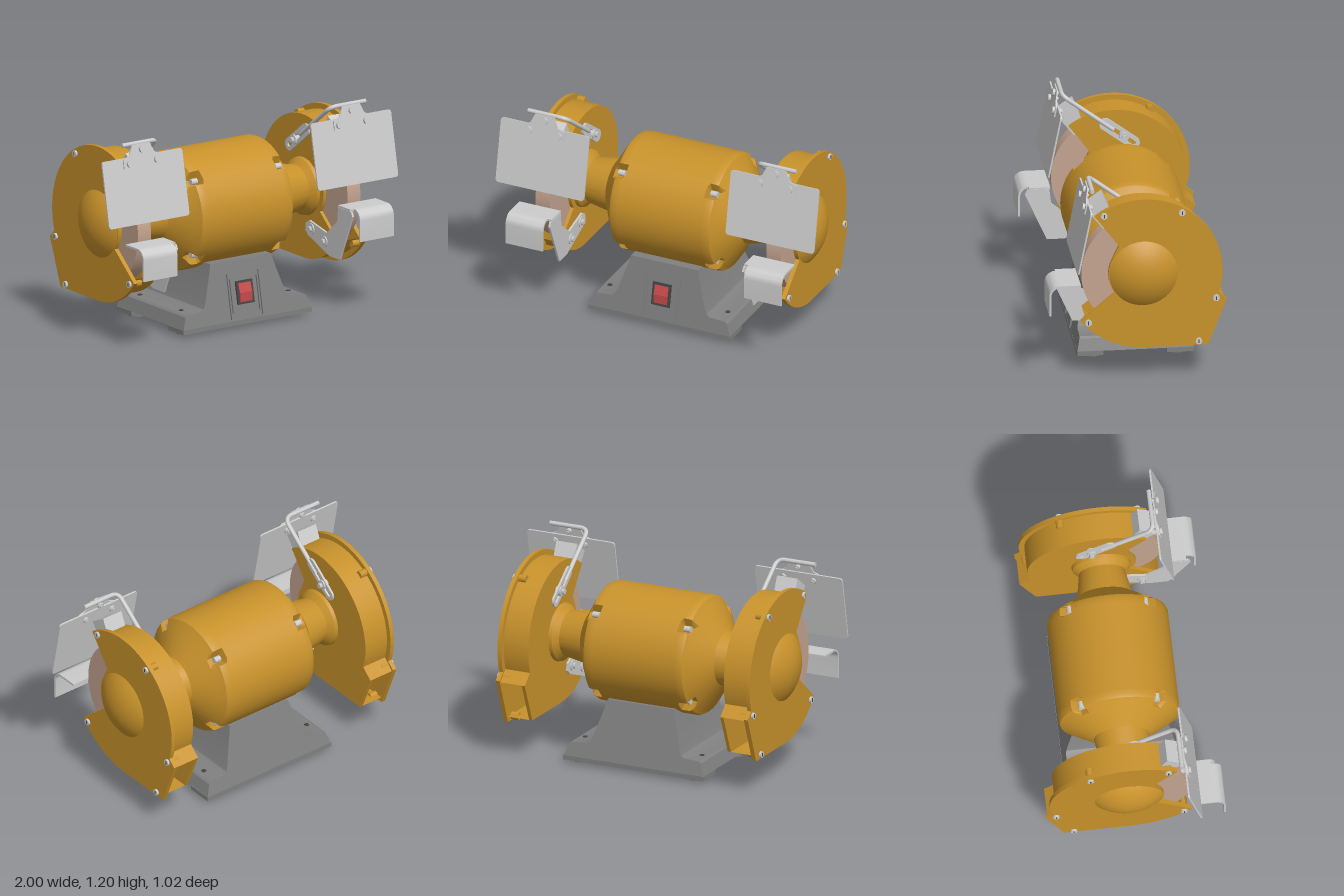
import * as THREE from 'three';
import { toCreasedNormals } from 'three/addons/utils/BufferGeometryUtils.js';

const CY = 0.657, CZ = -0.035; // shaft axis
const mat = (color, side = THREE.FrontSide) => new THREE.MeshStandardMaterial({ color, side });
const GOLD = mat(0xc8922b), GOLD2 = mat(0xc8922b, THREE.DoubleSide), GREY = mat(0xcccccc);
const DARK = mat(0x808080), BLACK = mat(0x444444), RED = mat(0xc84a4a), STONE = mat(0xc4a490);

// points [z, y] on a circle round the shaft axis, angle 0 = front
function arc(r, a0, a1, n, cz = CZ, cy = CY) {
  return Array.from({ length: n + 1 }, (_, i) => {
    const a = a0 + (a1 - a0) * i / n;
    return [cz + r * Math.cos(a), cy + r * Math.sin(a)];
  });
}
const toShape = pts => new THREE.Shape(pts.map(p => new THREE.Vector2(p[0], p[1])));
const extrude = (shape, depth) =>
  new THREE.ExtrudeGeometry(shape, { depth, bevelEnabled: false, curveSegments: 8 });

// [z, y] outline extruded from x0 to x1
function extrudeX(pts, x0, x1) {
  const g = extrude(toShape(pts.map(([z, y]) => [-z, y])), x1 - x0);
  return toCreasedNormals(g.rotateY(Math.PI / 2).translate(x0, 0, 0), 0.5);
}
// open sheet following a [z, y] path
function ribbon(pts, x0, x1) {
  const n = pts.length, g = new THREE.PlaneGeometry(1, 1, n - 1, 1), p = g.attributes.position;
  for (let i = 0; i < 2 * n; i++) p.setXYZ(i, i < n ? x0 : x1, pts[i % n][1], pts[i % n][0]);
  return toCreasedNormals(g, 0.5);
}
const latheX = (pts, seg = 64) => new THREE.LatheGeometry(
  pts.map(([r, x]) => new THREE.Vector2(r, x)), seg).rotateZ(-Math.PI / 2);
const cylX = (r, x0, x1, y, z, seg = 20) => new THREE.CylinderGeometry(r, r, x1 - x0, seg)
  .rotateZ(-Math.PI / 2).translate((x0 + x1) / 2, y, z);
const box = (w, h, d, x, y, z) => new THREE.BoxGeometry(w, h, d).translate(x, y, z);

function mirrored(geo) {
  const g = geo.clone().scale(-1, 1, 1);
  const idx = g.index ? Array.from(g.index.array)
    : Array.from({ length: g.attributes.position.count }, (_, i) => i);
  return g.setIndex(idx.reverse());
}

// side outline of a wheel guard: drum, spark chute at the back, open mouth in front
function guardOutline(r, chute, lip) {
  return [...arc(r, 0.909, 3.449, 40), ...chute, ...arc(r, 4.712, 5.627, 16),
    ...arc(0.2, -0.607, 0.51, 12), [0.125, 0.79], [0.105, 0.83], lip];
}

function buildMotor(add) {
  // motor shell with four screw pockets sunk into each end
  const half = [[0.345, 0], [0.345, 0.25], [0.345, 0.262], [0.345, 0.295], [0.338, 0.312], [0.315, 0.325],
    [0.29, 0.343], [0.18, 0.41], [0.158, 0.425], [0.132, 0.57], [0.165, 0.6], [0.17, 0.625]];
  const profile = [...half.slice(1).reverse().map(([r, x]) => [r, -x]), ...half];
  const shell = latheX(profile, 96), p = shell.attributes.position;
  for (let i = 0; i < p.count; i++) {
    const y = p.getY(i), z = p.getZ(i), r = Math.hypot(y, z);
    const off = Math.abs(Math.abs(Math.atan2(Math.abs(y), Math.abs(z))) - Math.PI / 4);
    if (off < 0.12 && Math.abs(p.getX(i)) > 0.255 && r > 0.288) {
      p.setY(i, y * 0.288 / r);
      p.setZ(i, z * 0.288 / r);
    }
  }
  add('motorHousing', toCreasedNormals(shell, 0.4).translate(0, CY, CZ), GOLD);
  for (const s of [-1, 1]) for (let k = 0; k < 4; k++) {
    const a = Math.PI / 4 + k * Math.PI / 2, x = s * 0.29;
    add('motorScrew', cylX(0.018, x - 0.02, x + 0.02, CY + 0.303 * Math.sin(a), CZ + 0.303 * Math.cos(a)), GREY);
  }
}

function buildBase(add) {
  const half = [[0.21, 0.385], [0.222, 0.34], [0.275, 0.17], [0.288, 0.142], [0.31, 0.13], [0.405, 0.125],
    [0.418, 0.115], [0.442, 0.045]];
  const g = extrude(toShape([...half, ...half.map(([x, y]) => [-x, y]).reverse()]), 1);
  const zf = y => 0.305 - 0.2 * (y - 0.02), zb = y => -0.37 + 0.285 * (y - 0.02);
  const p = g.attributes.position;
  for (let i = 0; i < p.count; i++) {
    const y = p.getY(i);
    p.setZ(i, zb(y) + (zf(y) - zb(y)) * p.getZ(i));
  }
  add('pedestal', toCreasedNormals(g, 0.5), DARK);
  // rim under the pedestal, notched at the sides
  add('frontRim', box(0.89, 0.027, 0.02, 0, 0.0335, 0.291), DARK);
  add('backRim', box(0.89, 0.027, 0.02, 0, 0.0335, -0.355), DARK);
  add('bottomPlate', box(0.85, 0.006, 0.62, 0, 0.043, -0.032), BLACK);
  for (const s of [-1, 1]) {
    for (const z of [0.205, -0.275]) {
      add('sideRim', box(0.02, 0.027, 0.15, s * 0.435, 0.0335, z + (z > 0 ? 0.02 : -0.01)), DARK);
      const foot = [[0, 0.02], [0.028, 0.02], [0.028, 0], [0.05, 0], [0.052, 0.045]];
      add('foot', toCreasedNormals(new THREE.LatheGeometry(
        foot.map(q => new THREE.Vector2(...q)), 28), 0.5).translate(s * 0.363, 0, z), DARK);
      add('mountingHole', new THREE.CylinderGeometry(0.014, 0.014, 0.004, 16)
        .translate(s * 0.37, 0.128, z * 0.85), BLACK);
    }
  }
  // switch on the sloping front
  const tilt = Math.atan(0.2);
  const onFront = geo => geo.rotateX(-tilt).translate(0, 0.2, zf(0.2));
  add('switchFrame', onFront(box(0.115, 0.135, 0.012, 0, 0, 0.004)), BLACK);
  add('switchRockerTop', onFront(box(0.085, 0.055, 0.02, 0, 0.026, 0).rotateX(-0.12).translate(0, 0, 0.008)), RED);
  add('switchRockerBottom', onFront(box(0.085, 0.055, 0.02, 0, -0.026, 0).rotateX(0.2).translate(0, 0, 0.012)), RED);
  for (const s of [-1, 1]) for (const [x, h] of [[0.108, 0.26], [0.092, 0.2]])
    add('panelRib', onFront(box(0.007, h, 0.016, s * x, -0.015, 0.002)), DARK);
}

// all parts of the +x grinding station
function buildStation(add) {
  const chuteOut = [[-0.51, 0.48], [-0.405, 0.205]], chuteIn = [[-0.5, 0.47], [-0.405, 0.237]];
  add('guardCover', extrudeX(guardOutline(0.452, chuteOut, [0.175, 0.925]), 0.775, 0.8), GOLD);
  add('guardInnerWall', extrudeX(guardOutline(0.42, chuteIn, [0.17, 0.92]), 0.62, 0.64), GOLD);
  add('guardTopWall', ribbon([...arc(0.42, 0.909, 3.449, 40), chuteIn[0]], 0.621, 0.78), GOLD2);
  add('guardBottomWall', ribbon([chuteIn[1], ...arc(0.42, 4.712, 5.627, 16)], 0.621, 0.78), GOLD2);
  const R = 0.313;
  add('guardDome', new THREE.SphereGeometry(R, 48, 12, 0, Math.PI * 2, 0, 0.672)
    .rotateZ(-Math.PI / 2).translate(0.868 - R, CY, CZ), GOLD);
  for (const [z, y] of [[0.19, 1.02], [-0.255, 1.02], [-0.45, 0.49], [-0.35, 0.23], [0.28, 0.37]]) {
    add('guardScrew', cylX(0.019, 0.8, 0.812, y, z), GREY);
    add('guardScrewSlot', box(0.003, 0.022, 0.006, 0.812, y, z).translate(0, 0, 0), BLACK);
    add('guardScrewBoss', cylX(0.022, 0.73, 0.776, y, z), GOLD);
  }
  add('grindingWheel', cylX(0.352, 0.68, 0.77, CY, CZ, 72), STONE);
  add('wheelShaft', cylX(0.05, 0.6, 0.79, CY, CZ, 24), GREY);

  // adjustable spark deflector at the mouth
  add('sparkDeflector', extrudeX([[0.285, 1.045], [0.19, 0.925], [0.13, 0.985], [0.187, 1.115]], 0.635, 0.765), GREY);

  // tool rest and its slotted arm
  add('toolRest', extrudeX([[0.33, 0.627], ...arc(0.06, Math.PI / 2, 0, 8, 0.45, 0.567), [0.51, 0.445],
    [0.498, 0.445], ...arc(0.048, 0, Math.PI / 2, 8, 0.45, 0.567), [0.33, 0.615]], 0.632, 0.866), GREY);
  add('toolRestArm', extrudeX([[0.475, 0.59], [0.462, 0.616], [0.335, 0.616], [0.325, 0.53], [0.22, 0.44], [0.05, 0.475],
    [0.015, 0.455], [0.01, 0.41], [0.04, 0.385], [0.25, 0.31], [0.35, 0.31]], 0.603, 0.615), GREY);
  add('toolRestFlange', box(0.03, 0.012, 0.12, 0.62, 0.621, 0.39), GREY);
  for (const [z, y] of [[0.07, 0.43], [0.2, 0.385]]) {
    add('toolRestWasher', cylX(0.032, 0.596, 0.622, y, z), GREY);
    add('toolRestBolt', cylX(0.018, 0.582, 0.6, y, z, 6), GREY);
  }

  // eye shield with its clamp, tilted back at the top
  const onShield = geo => geo.rotateX(-0.195).translate(0.7225, 0.93, 0.3225);
  const w = 0.2775, h = 0.1935, c = 0.02;
  const pane = new THREE.Shape();
  pane.moveTo(-w + c, -h).lineTo(w - c, -h).quadraticCurveTo(w, -h, w, -h + c).lineTo(w, h - c)
    .quadraticCurveTo(w, h, w - c, h).lineTo(-w + c, h).quadraticCurveTo(-w, h, -w, h - c)
    .lineTo(-w, -h + c).quadraticCurveTo(-w, -h, -w + c, -h);
  add('eyeShield', onShield(extrude(pane, 0.01).translate(0, 0, -0.005)), GREY);
  const clamp = toShape([[-0.125, 0.13], [0.135, 0.13], [0.135, 0.185], [0.09, 0.205], [0.065, 0.26],
    [-0.055, 0.26], [-0.08, 0.205], [-0.125, 0.185]]);
  add('shieldClamp', onShield(extrude(clamp, 0.008).translate(0, 0, 0.005)), GREY);
  for (const [x, y] of [[-0.092, 0.158], [0.096, 0.158], [0.003, 0.23]]) {
    add('clampScrew', onShield(new THREE.CylinderGeometry(0.021, 0.021, 0.014, 20)
      .rotateX(Math.PI / 2).translate(x, y, 0.02)), GREY);
    add('clampBolt', onShield(new THREE.CylinderGeometry(0.01, 0.01, 0.05, 12)
      .rotateX(Math.PI / 2).translate(x, y, -0.008)), GREY);
    add('clampNut', onShield(new THREE.CylinderGeometry(0.02, 0.02, 0.014, 6)
      .rotateX(Math.PI / 2).translate(x, y, -0.02)), GREY);
  }

  // bent rod and slotted foot carrying the shield
  const rod = new THREE.CurvePath(), v = (x, y, z) => new THREE.Vector3(x, y, z);
  const a = v(0.6, 0.965, -0.03), b = v(0.6, 1.155, 0.222), corner = v(0.6, 1.187, 0.262), d = v(0.65, 1.187, 0.262);
  rod.add(new THREE.LineCurve3(a, b));
  rod.add(new THREE.QuadraticBezierCurve3(b, corner, d));
  rod.add(new THREE.LineCurve3(d, v(0.84, 1.187, 0.262)));
  add('shieldRod', new THREE.TubeGeometry(rod, 60, 0.013, 12), GREY);
  add('shieldRodEnd', cylX(0.013, 0.83, 0.842, 1.187, 0.262, 12), GREY);
  const foot = new THREE.Shape(), slot = new THREE.Path();
  foot.absarc(-0.1, 0, 0.036, Math.PI / 2, Math.PI * 1.5).absarc(0.1, 0, 0.036, -Math.PI / 2, Math.PI / 2);
  slot.absarc(-0.1, 0, 0.013, Math.PI / 2, Math.PI * 1.5).absarc(0.05, 0, 0.013, -Math.PI / 2, Math.PI / 2);
  foot.holes.push(slot);
  add('shieldRodFoot', extrude(foot, 0.012).rotateZ(Math.PI - 0.645).rotateY(Math.PI / 2)
    .translate(0.597, 0.94, -0.065), GREY);
  add('shieldRodWasher', cylX(0.028, 0.588, 0.622, 0.92, -0.09), GREY);
  add('shieldRodBolt', cylX(0.017, 0.57, 0.59, 0.92, -0.09, 6), GREY);
}

export function createModel() {
  const model = new THREE.Group();
  model.name = 'benchGrinder';
  const adder = (group, map = g => g) => (name, geo, material) => {
    const mesh = new THREE.Mesh(map(geo), material);
    mesh.name = name;
    group.add(mesh);
  };
  const parts = { motor: [buildMotor], base: [buildBase], leftStation: [buildStation], rightStation: [buildStation, mirrored] };
  for (const [name, [build, map]] of Object.entries(parts)) {
    const group = new THREE.Group();
    group.name = name;
    build(adder(group, map));
    model.add(group);
  }
  return model;
}
